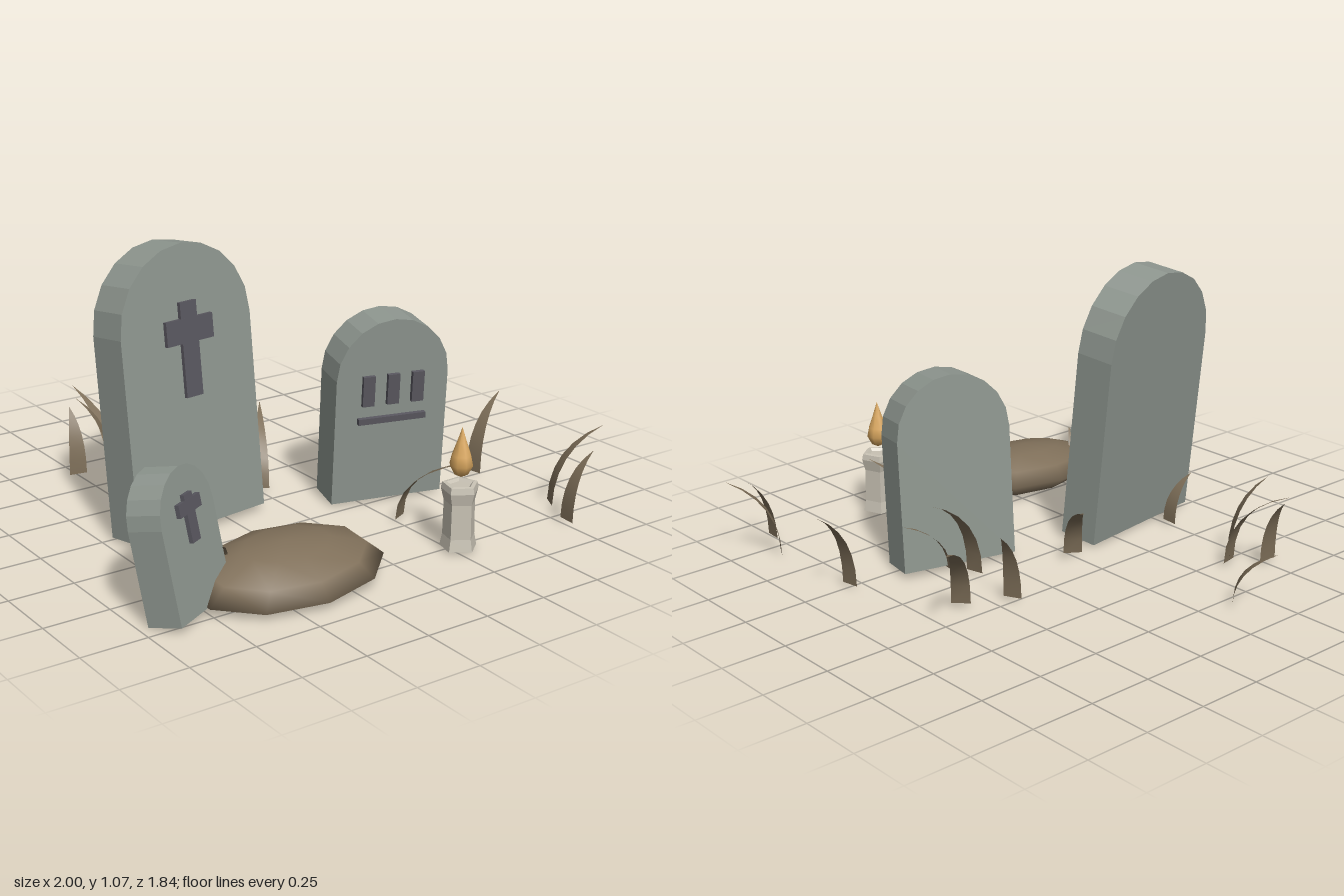
import * as THREE from 'three';
import { mergeVertices } from 'three/addons/utils/BufferGeometryUtils.js';

const makeMaterial = (name, color, side = THREE.FrontSide) => {
  const m = new THREE.MeshStandardMaterial({ color, side });
  m.name = name;
  return m;
};
const deg = THREE.MathUtils.degToRad;

export function createModel() {
  const model = new THREE.Group();
  model.name = 'graveyard';
  const stoneMat = makeMaterial('stone grey', 0x8e968f);
  const carvingMat = makeMaterial('carving grey', 0x59575f);
  const earthMat = makeMaterial('earth brown', 0x80705a);
  const grassMat = makeMaterial('dry grass brown', 0x7d6e58, THREE.DoubleSide);
  const waxMat = makeMaterial('candle wax', 0xc8c2b4);
  const flameMat = makeMaterial('flame amber', 0xd9a75f);
  stoneMat.flatShading = true;
  waxMat.flatShading = true;

  const add = (parent, name, geometry, material) => {
    const mesh = new THREE.Mesh(geometry, material);
    mesh.name = name;
    parent.add(mesh);
    return mesh;
  };

  // Round-topped headstone; carvings are [x, y, width, height] on its front
  function headstone({ name, pos, width, height, depth, yaw, lean, carvings }) {
    const group = new THREE.Group();
    group.name = name;
    group.position.set(...pos);
    group.rotation.set(deg(lean), deg(yaw), 0, 'YXZ');
    const r = width / 2;
    const shape = new THREE.Shape();
    shape.moveTo(-r, 0);
    shape.lineTo(r, 0);
    shape.lineTo(r, height - r);
    shape.absarc(0, height - r, r, 0, Math.PI, false);
    const slab = new THREE.ExtrudeGeometry(shape, { depth, bevelEnabled: false, curveSegments: 5 });
    slab.translate(0, 0, -depth / 2);
    add(group, 'slab', slab, stoneMat);
    carvings.forEach(([x, y, w, h], i) => {
      // slightly different depths keep crossing bars apart
      add(group, 'carving', new THREE.BoxGeometry(w, h, 0.03 + i * 0.002), carvingMat)
        .position.set(x, y, depth / 2);
    });
    model.add(group);
  }

  headstone({
    name: 'tallHeadstone', pos: [-0.4, 0.02, 0.04], width: 0.6, height: 1.05,
    depth: 0.16, yaw: 8, lean: -6,
    carvings: [[0, 0.665, 0.075, 0.35], [0, 0.735, 0.215, 0.09]],
  });
  headstone({
    name: 'middleHeadstone', pos: [0.373, 0.018, 0.183], width: 0.455, height: 0.73,
    depth: 0.15, yaw: -14, lean: 4.5,
    carvings: [-0.1, 0, 0.1].map((x) => [x, 0.455, 0.048, 0.12]).concat([[0, 0.335, 0.275, 0.024]]),
  });
  headstone({
    name: 'smallHeadstone', pos: [-0.79, 0.015, 0.67], width: 0.33, height: 0.495,
    depth: 0.13, yaw: 28, lean: -12,
    carvings: [[0, 0.32, 0.05, 0.165], [0, 0.36, 0.135, 0.045]],
  });

  // Grave mound: squashed lathe, with its rim lifted towards the back right
  const profile = [[0, 0.015], [0.72, 0.015], [1, 0.05], [0.82, 0.105], [0.45, 0.15], [0, 0.165]];
  let mound = new THREE.LatheGeometry(profile.map(([x, y]) => new THREE.Vector2(x, y)), 10);
  mound.deleteAttribute('uv');
  mound.deleteAttribute('normal');
  mound = mergeVertices(mound, 1e-4);
  const p = mound.attributes.position;
  for (let i = 0; i < p.count; i++) {
    const x = p.getX(i), y = p.getY(i), z = p.getZ(i);
    const lift = y > 0.02 ? 0.012 * x - 0.022 * z : 0;
    p.setXYZ(i, -0.4 + 0.38 * x, y + lift, 0.665 + 0.255 * z);
  }
  mound.computeVertexNormals();
  add(model, 'graveMound', mound, earthMat);

  // Candle with a flared foot and rim, and a teardrop flame
  const candle = new THREE.Group();
  candle.name = 'candle';
  candle.position.set(0.272, 0, 0.782);
  const lathe = (points, sides) =>
    new THREE.LatheGeometry(points.map(([x, y]) => new THREE.Vector2(x, y)), sides, deg(75));
  add(candle, 'waxBody', lathe([[0, 0.015], [0.07, 0.015], [0.061, 0.06], [0.059, 0.19],
    [0.071, 0.235], [0.066, 0.258], [0.05, 0.26], [0.04, 0.25], [0, 0.25]], 5), waxMat);
  add(candle, 'flame', lathe([[0, 0.282], [0.026, 0.295], [0.044, 0.33], [0.036, 0.365],
    [0.018, 0.415], [0, 0.47]], 8), flameMat);
  model.add(candle);

  // Grass blade: a tapering strip that rises and bends over towards its tip
  function grassBlade([bx, bz, tx, tz, height]) {
    const steps = 6, positions = [], index = [];
    const dir = new THREE.Vector2(tx - bx, tz - bz);
    const side = new THREE.Vector2(-dir.y, dir.x).normalize();
    for (let i = 0; i <= steps; i++) {
      const t = i / steps, d = t * t;
      const half = 0.035 * (1 - d) + 0.0005;
      const y = 0.015 + (height - 0.015) * t * (1.4 - 0.4 * t);
      for (const s of [-half, half]) {
        positions.push(bx + dir.x * d + side.x * s, y, bz + dir.y * d + side.y * s);
      }
      if (i < steps) {
        const a = i * 2;
        index.push(a, a + 2, a + 1, a + 1, a + 2, a + 3);
      }
    }
    const g = new THREE.BufferGeometry();
    g.setAttribute('position', new THREE.Float32BufferAttribute(positions, 3));
    g.setIndex(index);
    g.computeVertexNormals();
    add(model, 'grassBlade', g, grassMat);
  }

  // base x, base z, tip x, tip z, height
  [
    [0.0, -0.085, 0.15, -0.31, 0.28],
    [0.605, -0.155, 0.85, -0.39, 0.34],
    [0.39, 0.03, 0.64, -0.03, 0.36],
    [0.435, -0.24, 0.52, -0.28, 0.28],
    [0.44, 0.14, 0.61, 0.165, 0.21],
    [0.805, 0.245, 0.95, 0.22, 0.32],
    [0.83, 0.66, 1.0, 0.75, 0.32],
    [0.76, 0.825, 0.87, 0.835, 0.27],
    [0.27, 0.445, 0.385, 0.69, 0.28],
    [-0.125, -0.8, -0.22, -0.92, 0.21],
    [-0.39, -0.535, -0.44, -0.78, 0.33],
    [-0.415, -0.51, -0.52, -0.6, 0.34],
    [-0.508, -0.625, -0.495, -0.71, 0.27],
    [-0.5, -0.11, -0.61, -0.12, 0.2],
    [-0.6, 0.55, -0.64, 0.645, 0.19],
  ].forEach(grassBlade);

  return model;
}
